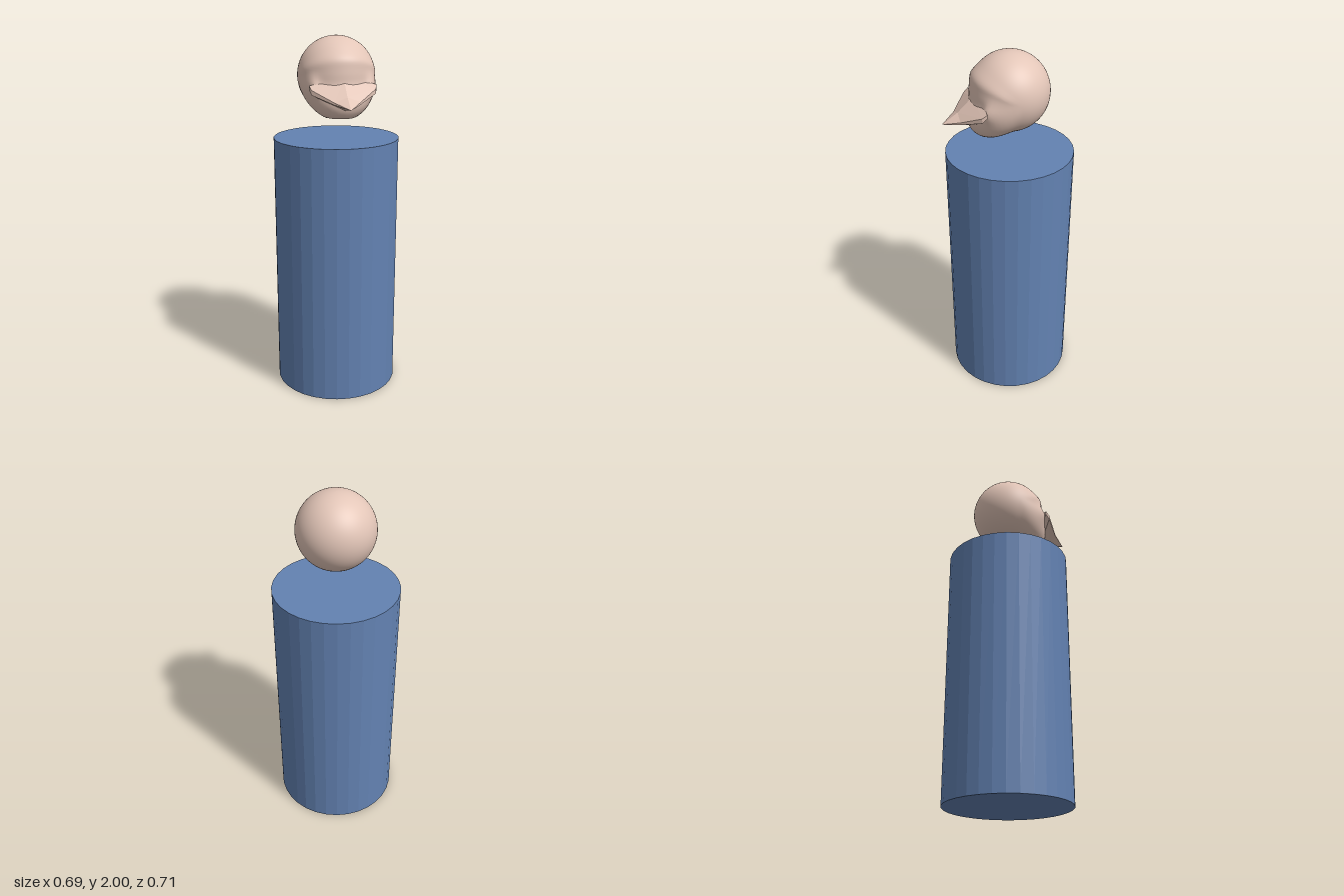
import * as THREE from 'three';

const SKIN = 0xe3c6b8, CLOTH = 0x6382b2;
const R = 0.211;
const bump = (v, centre, width) => Math.exp(-(((v - centre) / width) ** 2));

// Sphere whose lower front is squared into a jaw, with a slight brow and cheeks
function headGeometry() {
  const geo = new THREE.SphereGeometry(R, 64, 48);
  const pos = geo.attributes.position;
  for (let i = 0; i < pos.count; i++) {
    const x = pos.getX(i);
    let y = pos.getY(i), z = pos.getZ(i);
    if (z > 0) {
      const angle = Math.atan2(y, z);
      if (y < 0) {
        const jaw = 1 + 0.34 * Math.sin(2 * angle) ** 2;
        y *= jaw;
        z *= jaw;
      }
      const front = Math.min(1, z / 0.08);
      z += 0.012 * front * bump(angle, 0.5, 0.2);
      z += 0.03 * front * bump(Math.abs(x), 0.16, 0.03) * bump(y, -0.04, 0.05);
    }
    pos.setXYZ(i, x, Math.max(y, -R), z);
  }
  geo.computeVertexNormals();
  // Restore matching normals along the rear seam and at the poles
  const n = geo.attributes.normal, row = 65;
  for (let j = 0; j <= 48; j++) {
    const a = j * row, b = a + 64;
    const v = new THREE.Vector3().fromBufferAttribute(n, a)
      .add(new THREE.Vector3().fromBufferAttribute(n, b)).normalize();
    n.setXYZ(a, v.x, v.y, v.z);
    n.setXYZ(b, v.x, v.y, v.z);
  }
  return geo;
}

// Beak lofted through six-sided sections that narrow to a point
function beakGeometry() {
  const sections = [
    { w: 0.18, z: 0.165, ridge: [1.8, 0.165], upper: 1.755, lower: 1.735, keel: [1.63, 0.16] },
    { w: 0.172, z: 0.19, ridge: [1.78, 0.19], upper: 1.735, lower: 1.71, keel: [1.625, 0.2] },
    { w: 0.07, z: 0.275, ridge: [1.705, 0.27], upper: 1.68, lower: 1.668, keel: [1.638, 0.26] },
    { w: 0, z: 0.355, ridge: [1.65, 0.355], upper: 1.65, lower: 1.65, keel: [1.65, 0.355] },
  ];
  const points = [], index = [];
  for (const s of sections) {
    points.push(
      0, ...s.ridge, -s.w, s.upper, s.z, -s.w, s.lower, s.z,
      0, ...s.keel, s.w, s.lower, s.z, s.w, s.upper, s.z);
  }
  for (let r = 0; r < sections.length - 1; r++) {
    for (let i = 0; i < 6; i++) {
      const a = r * 6 + i, b = r * 6 + (i + 1) % 6;
      index.push(a, b, b + 6, a, b + 6, a + 6);
    }
  }
  for (let i = 1; i < 5; i++) index.push(0, i + 1, i); // back cap
  const geo = new THREE.BufferGeometry();
  geo.setAttribute('position', new THREE.Float32BufferAttribute(points, 3));
  geo.setIndex(index);
  geo.computeVertexNormals();
  return geo;
}

export function createModel() {
  const model = new THREE.Group();
  const add = (name, geometry, options) => {
    const mesh = new THREE.Mesh(geometry, new THREE.MeshStandardMaterial(options));
    mesh.name = name;
    model.add(mesh);
    return mesh;
  };

  // Plain column body
  add('body', new THREE.CylinderGeometry(0.347, 0.347, 1.45, 32), { color: CLOTH, flatShading: true })
    .position.set(0, 0.725, -0.01);

  // Head floating above the body
  add('head', headGeometry(), { color: SKIN }).position.set(0, 1.789, -0.01);

  // Wide pointed beak
  add('beak', beakGeometry(), { color: SKIN, flatShading: true, side: THREE.DoubleSide });

  return model;
}
